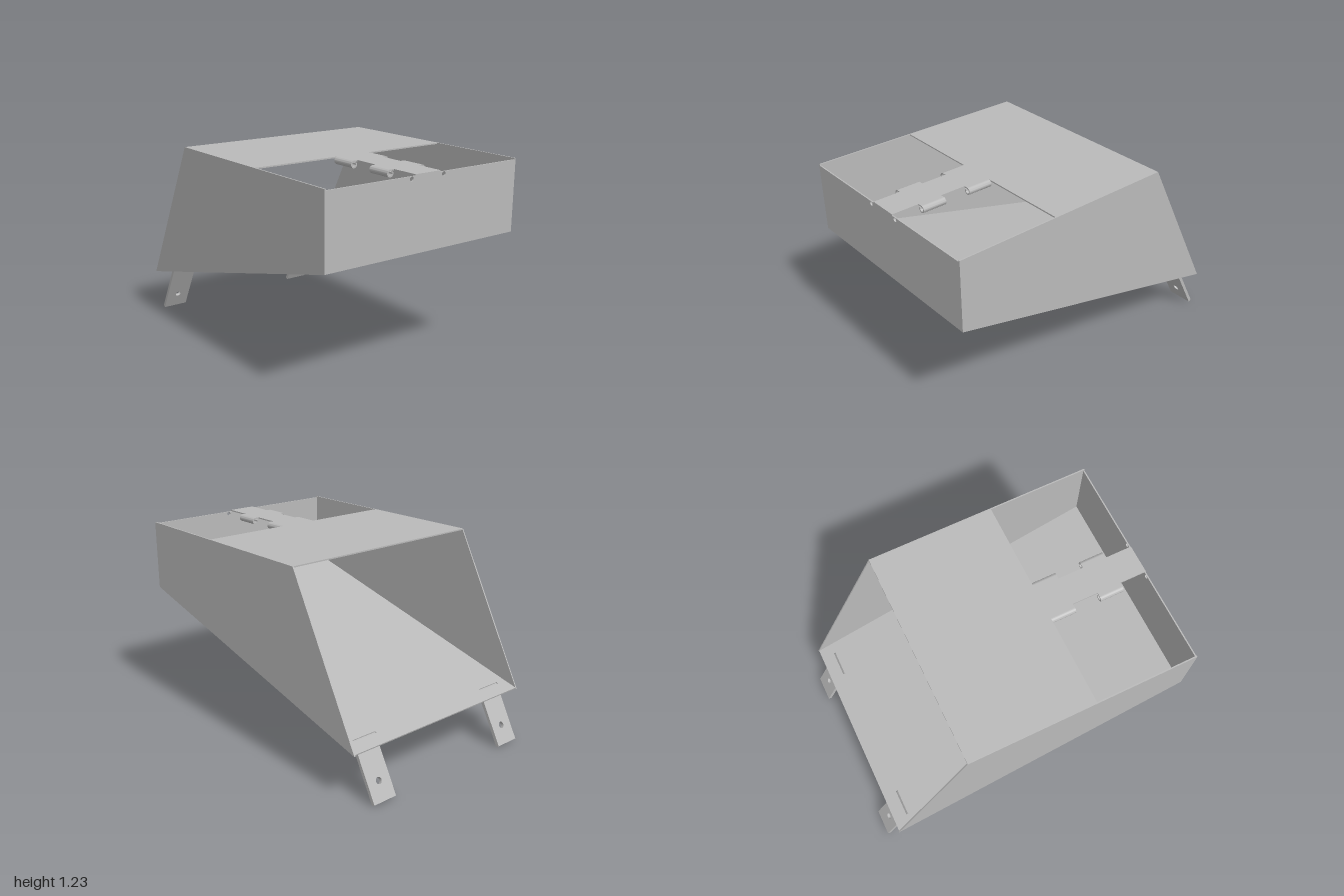
import * as THREE from 'three';
import { toCreasedNormals } from 'three/addons/utils/BufferGeometryUtils.js';

const T = 0.008;            // sheet thickness
const W = 0.68;             // half width
const LOW = [-0.925, 0.297]; // open lower edge
const TOP_X = -0.428, TOP_Y = 1.226, END_Y = 0.79;

const polygon = (pts) => new THREE.Shape(pts.map(([x, y]) => new THREE.Vector2(x, y)));
const rect = (x0, y0, x1, y1) => [[x0, y0], [x1, y0], [x1, y1], [x0, y1]];
const extrude = (shape, depth) =>
  new THREE.ExtrudeGeometry(shape, { depth, bevelEnabled: false, curveSegments: 14 });

function circleHole(shape, x, y, r) {
  const hole = new THREE.Path();
  hole.absarc(x, y, r, 0, Math.PI * 2, true);
  shape.holes.push(hole);
}

export function createModel() {
  const group = new THREE.Group();
  const metal = new THREE.MeshStandardMaterial({ color: 0xbababa });
  metal.name = 'grey sheet metal';

  const add = (name, geometry) => {
    const mesh = new THREE.Mesh(toCreasedNormals(geometry, 0.6), metal);
    mesh.name = name;
    group.add(mesh);
    return mesh;
  };

  // Side walls
  const side = polygon([LOW, [1, END_Y], [1, TOP_Y], [TOP_X, TOP_Y]]);
  add('leftSideWall', extrude(side, T).translate(0, 0, W - T));
  add('rightSideWall', extrude(side, T).translate(0, 0, -W));

  // Sloping floor with a slot above each leg
  const dx = 1 - LOW[0], dy = END_Y - LOW[1];
  const length = Math.hypot(dx, dy);
  const floor = polygon(rect(0.006, -W + T, length - 0.003, W - T));
  for (const s of [-1, 1]) {
    const slot = rect(0.092, s * 0.52 - 0.083, 0.107, s * 0.52 + 0.083);
    floor.holes.push(new THREE.Path(slot.map(([x, y]) => new THREE.Vector2(x, y))));
  }
  add('floor', extrude(floor, T).rotateX(-Math.PI / 2)
    .rotateZ(Math.atan2(dy, dx)).translate(LOW[0], LOW[1], 0));

  // End wall with two hinge pin holes
  const PIN_Z = 0.115, PIN_Y = 1.204;
  const end = polygon(rect(-W + T, END_Y, W - T, TOP_Y - T));
  for (const s of [-1, 1]) circleHole(end, s * PIN_Z, PIN_Y, 0.013);
  add('endWall', extrude(end, T).rotateY(Math.PI / 2).translate(1 - T, 0, 0));

  // Top plate, with a tongue that steps out at each hinge knuckle
  const knuckles = [[0.365, 0.52], [0.68, 0.83]];
  const edge = [];
  for (const [a, b] of knuckles) edge.push([a, PIN_Z], [b, PIN_Z], [b, 0.09]);
  edge.splice(3, 0, [knuckles[1][0], 0.09]);
  edge.push([1, 0.09]);
  const mirrored = edge.map(([x, z]) => [x, -z]);
  const top = polygon([
    [TOP_X, -W + T], [0.365, -W + T], ...mirrored,
    ...edge.reverse(), [0.365, W - T], [TOP_X, W - T],
  ]);
  add('topPlate', extrude(top, T).rotateX(-Math.PI / 2).translate(0, TOP_Y - T, 0));

  // Rolled hinge knuckles, curling down and back under the tongue
  for (const s of [-1, 1]) {
    const start = Math.PI / 2, stop = start + s * Math.PI * 1.6;
    const curl = new THREE.Shape();
    curl.absarc(0, 0, 0.022, start, stop, s < 0);
    curl.absarc(0, 0, 0.014, stop, start, s > 0);
    for (const [a, b] of knuckles) {
      add(s > 0 ? 'leftHingeKnuckle' : 'rightHingeKnuckle',
        extrude(curl, b - a).rotateY(Math.PI / 2).translate(a, PIN_Y, s * PIN_Z));
    }
  }

  // Slanted mounting legs, each with a bolt hole
  for (const s of [-1, 1]) {
    const leg = polygon(rect(-0.081, 0, 0.081, 0.363));
    circleHole(leg, 0, 0.113, 0.02);
    add(s > 0 ? 'leftLeg' : 'rightLeg', extrude(leg, 0.021).rotateY(Math.PI / 2)
      .rotateZ(-Math.atan2(0.5, 0.925)).translate(-1, 0.01, s * 0.52));
  }
  return group;
}
